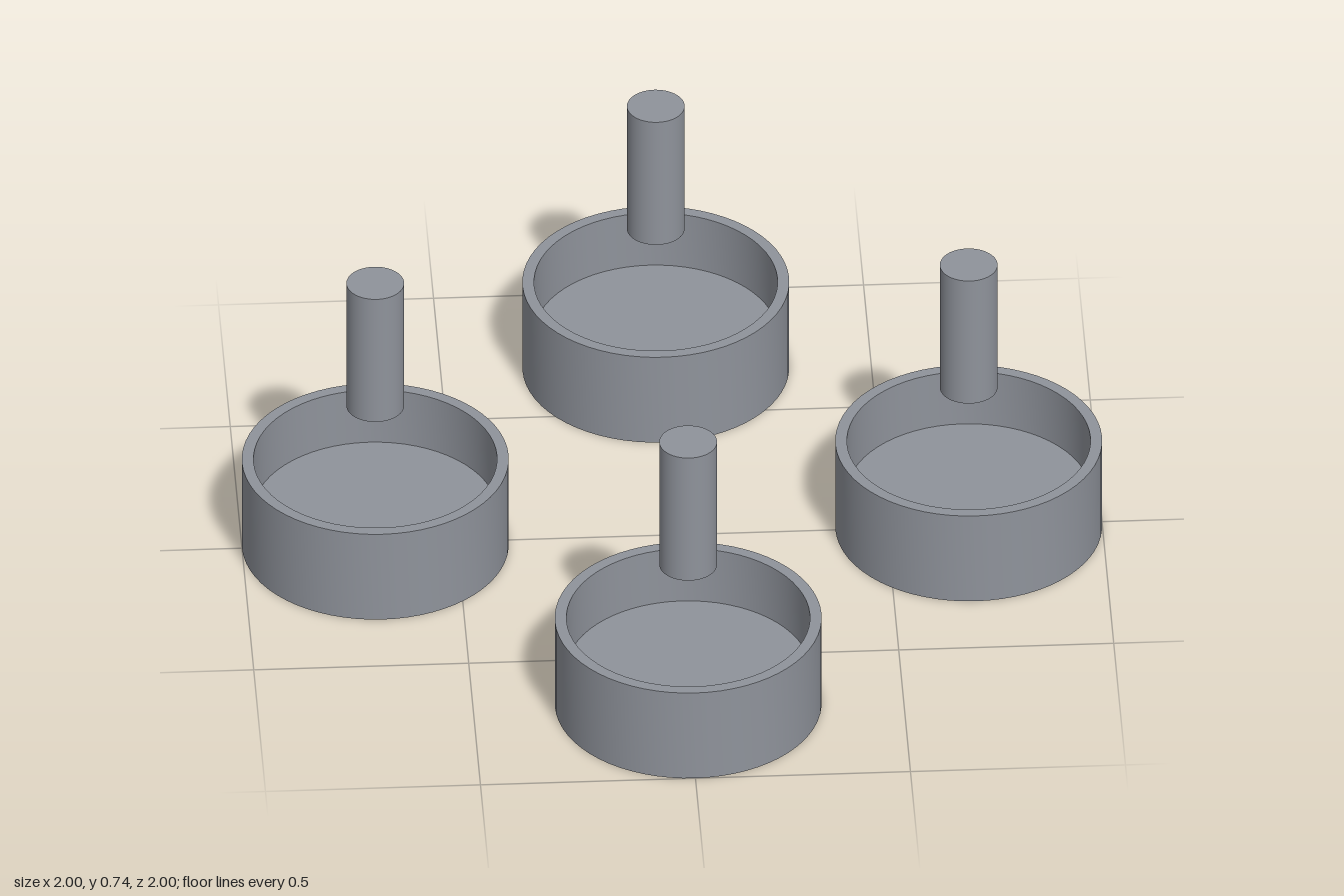
import * as THREE from 'three';
import { toCreasedNormals } from 'three/addons/utils/BufferGeometryUtils.js';

const SEGMENTS = 64;
const RING = 0.69; // distance of each set from the centre

export function createModel() {
  const model = new THREE.Group();
  model.name = 'cupsAndPins';

  const grey = new THREE.MeshStandardMaterial({ color: 0x8f939b });
  grey.name = 'grey';

  // Cup section: thin wall with a floor raised above the bottom rim
  const outer = 0.31, inner = 0.283, height = 0.24;
  const floorBottom = 0.045, floorTop = 0.093;
  const profile = [
    [0, floorBottom], [inner, floorBottom], [inner, 0], [outer, 0],
    [outer, height], [inner, height], [inner, floorTop], [0, floorTop],
  ].map(([r, y]) => new THREE.Vector2(r, y));
  const cupGeometry = toCreasedNormals(new THREE.LatheGeometry(profile, SEGMENTS), 0.6);

  // Pin floating above the cup
  const pinBottom = 0.39, pinTop = 0.735;
  const pinGeometry = new THREE.CylinderGeometry(0.067, 0.067, pinTop - pinBottom, SEGMENTS);
  pinGeometry.translate(0, (pinBottom + pinTop) / 2, 0);

  // Four sets, one on each side
  const places = { left: [RING, 0], right: [-RING, 0], front: [0, RING], back: [0, -RING] };
  for (const [side, [x, z]] of Object.entries(places)) {
    const set = new THREE.Group();
    set.name = `${side}Set`;
    set.position.set(x, 0, z);

    const cup = new THREE.Mesh(cupGeometry, grey);
    cup.name = `${side}Cup`;
    const pin = new THREE.Mesh(pinGeometry, grey);
    pin.name = `${side}Pin`;

    set.add(cup, pin);
    model.add(set);
  }
  return model;
}
